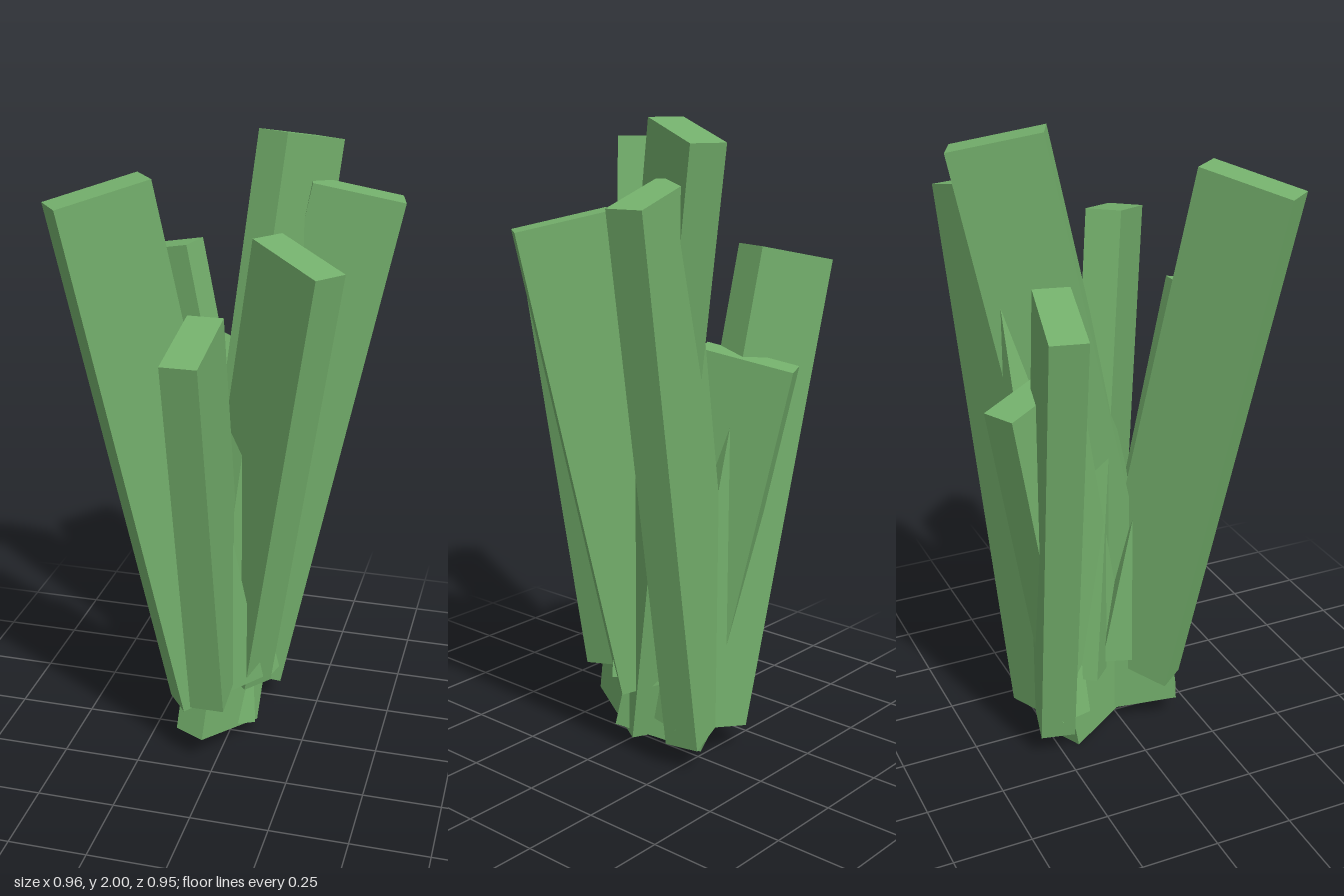
import * as THREE from 'three';

const WIDTH = 0.292, THICKNESS = 0.11, TILT = THREE.MathUtils.degToRad(12);

// A flat blade leaning outward; its origin is the middle of the outer top edge
function makeBlade(turn, x, z, top, bottom, material) {
  const length = (top - bottom) / Math.cos(TILT);
  const geometry = new THREE.BoxGeometry(WIDTH, length, THICKNESS);
  geometry.translate(-WIDTH / 2, -length / 2, 0);
  const blade = new THREE.Mesh(geometry, material);
  blade.rotation.set(0, -turn, -TILT);
  blade.position.set(x, top, z);
  return blade;
}

export function createModel() {
  const model = new THREE.Group();
  model.name = 'grassTuft';
  const green = new THREE.MeshStandardMaterial({ color: 0x74b06c, flatShading: true });

  // Seven blades fanned evenly round a circle, starting at the front:
  // outer top edge x, z, then its height and the height of the outer bottom edge
  const blades = [
    ['frontBlade', -0.025, 0.475, 1.465, 0.205],
    ['frontRightBlade', -0.422, 0.372, 1.866, 0.175],
    ['rightBlade', -0.468, -0.342, 1.56, 0.08],
    ['backRightBlade', -0.197, -0.452, 1.26, 0],
    ['backLeftBlade', 0.21, -0.433, 1.939, 0.03],
    ['leftBlade', 0.463, -0.353, 1.775, 0.08],
    ['frontLeftBlade', 0.34, 0.197, 1.67, 0.195],
  ];
  blades.forEach(([name, x, z, top, bottom], i) => {
    const turn = Math.PI / 2 + (i * Math.PI * 2) / blades.length;
    const blade = makeBlade(turn, x, z, top, bottom, green);
    blade.name = name;
    model.add(blade);
  });
  return model;
}
